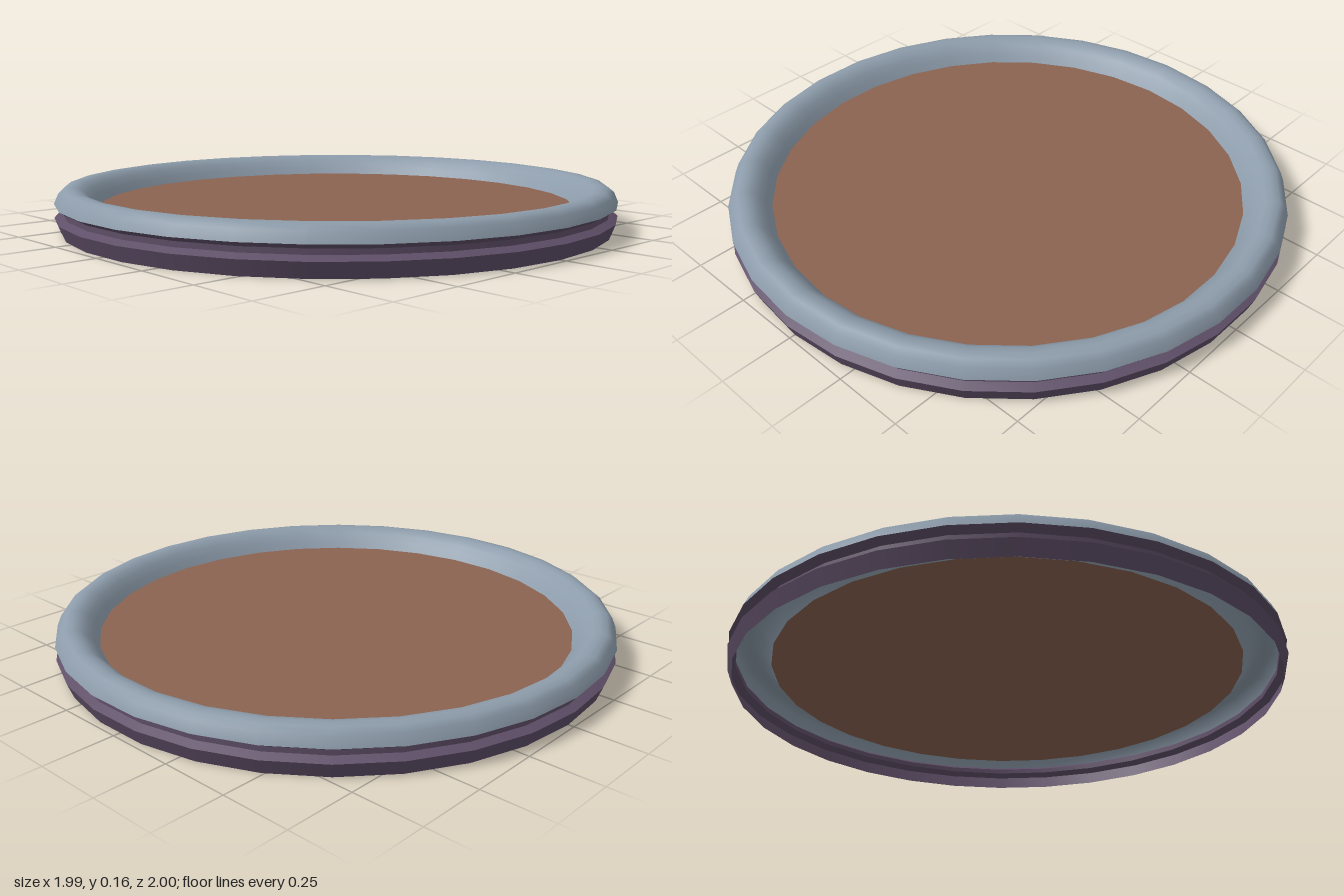
import * as THREE from 'three';

const SIDES = 30;

function paint(color) {
  return new THREE.MeshStandardMaterial({ color, side: THREE.DoubleSide });
}

// Thin turned shell from [radius, height] points, listed up the outside and over
function turned(name, profile, material) {
  const points = profile.map(([r, y]) => new THREE.Vector2(r, y));
  const mesh = new THREE.Mesh(new THREE.LatheGeometry(points, SIDES), material);
  mesh.name = name;
  return mesh;
}

export function createModel() {
  const model = new THREE.Group();
  model.name = 'roundTray';

  // Smooth rolled rim, open underneath
  model.add(turned('rim', [
    [1.0, 0.1], [0.985, 0.135], [0.965, 0.151], [0.94, 0.155], [0.915, 0.15],
    [0.89, 0.132], [0.868, 0.106], [0.85, 0.08],
  ], paint(0x8d9cab)));

  // Grooved base band: one shell per step so its edges stay sharp
  const base = new THREE.Group();
  base.name = 'baseBand';
  const basePaint = paint(0x5f4f68);
  const steps = [[0.98, 0], [1.0, 0.052], [0.973, 0.066], [0.973, 0.084], [1.0, 0.1]];
  for (let i = 0; i < steps.length - 1; i++) {
    base.add(turned('baseStep' + (i + 1), [steps[i], steps[i + 1]], basePaint));
  }
  model.add(base);

  // Flat panel inside the rim
  const disc = new THREE.CircleGeometry(0.85, SIDES, Math.PI / 2).rotateX(-Math.PI / 2);
  const panel = new THREE.Mesh(disc, paint(0x8b6350));
  panel.name = 'panel';
  panel.position.y = 0.08;
  model.add(panel);

  return model;
}
